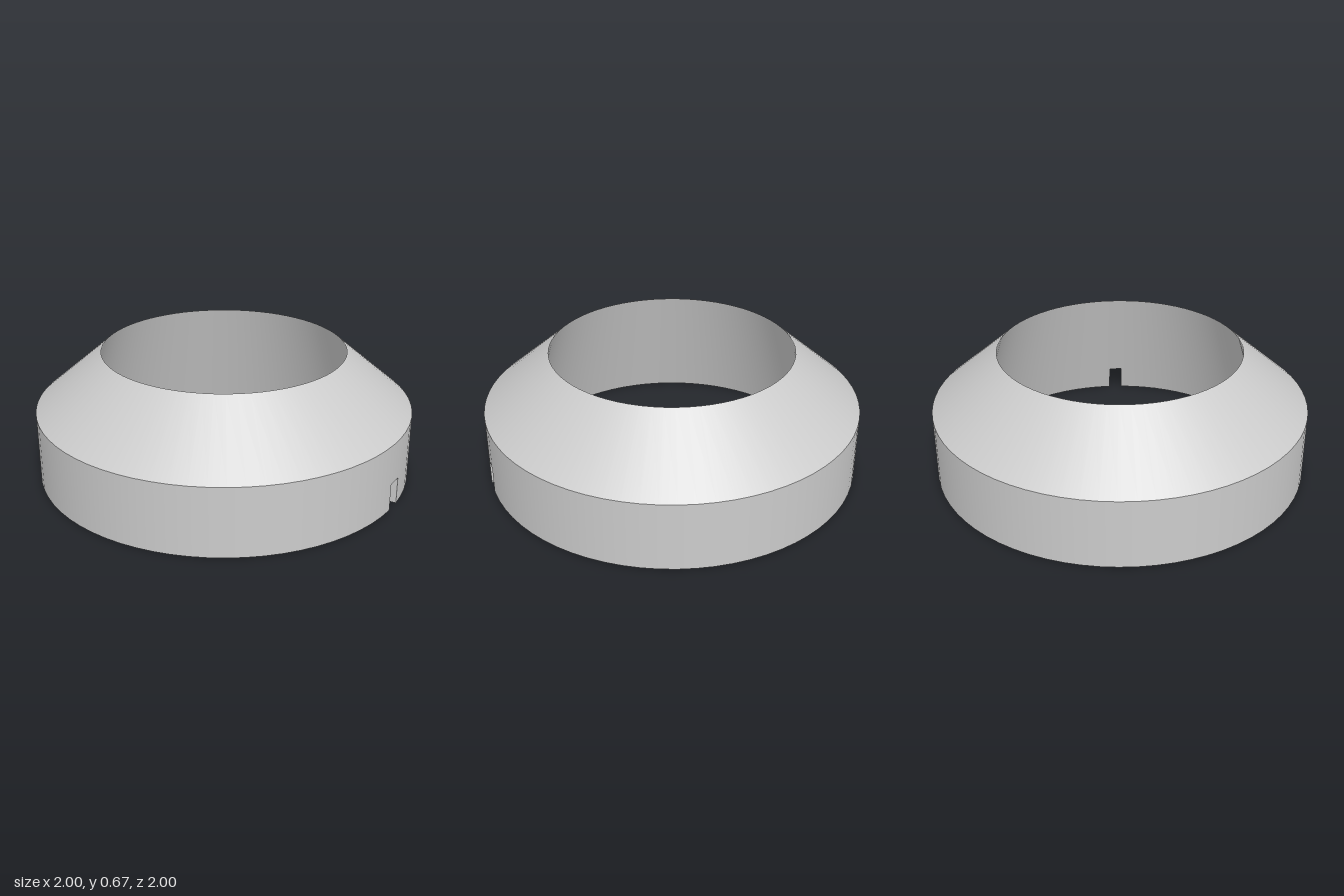
import * as THREE from 'three';

const NOTCH_START = THREE.MathUtils.degToRad(86.6);
const NOTCH_ANGLE = THREE.MathUtils.degToRad(4.95);
const NOTCH_HEIGHT = 0.145;
const HEIGHT = 0.665, SHOULDER = 0.365;
const OUTER = 1, BORE_BOTTOM = 0.845, BORE_TOP = 0.645;

// Radius of the tapering bore at a given height
const boreRadius = (y) => THREE.MathUtils.lerp(BORE_BOTTOM, BORE_TOP, y / HEIGHT);

export function createModel() {
  const model = new THREE.Group();
  const material = new THREE.MeshStandardMaterial({ color: 0xcccccc });
  const wallMaterial = new THREE.MeshStandardMaterial({ color: 0xcccccc, side: THREE.DoubleSide });

  // One sector of the ring; each profile edge is its own band so corners stay sharp
  function ringSector(name, bottom, start, length, segments) {
    const sector = new THREE.Group();
    sector.name = name;
    const profile = [
      [boreRadius(bottom), bottom], [OUTER, bottom],
      [OUTER, SHOULDER], [BORE_TOP, HEIGHT],
    ].map(([r, y]) => new THREE.Vector2(r, y));
    ['underside', 'outerWall', 'slopedTop', 'bore'].forEach((band, i) => {
      const edge = [profile[i], profile[(i + 1) % 4]];
      const mesh = new THREE.Mesh(new THREE.LatheGeometry(edge, segments, start, length), material);
      mesh.name = band;
      sector.add(mesh);
    });
    model.add(sector);
  }
  ringSector('ring', 0, NOTCH_START + NOTCH_ANGLE, Math.PI * 2 - NOTCH_ANGLE, 71);
  ringSector('ringAboveNotch', NOTCH_HEIGHT, NOTCH_START, NOTCH_ANGLE, 1);

  // Radial side walls of the notch
  const wall = new THREE.ShapeGeometry(new THREE.Shape([
    new THREE.Vector2(BORE_BOTTOM, 0), new THREE.Vector2(OUTER, 0),
    new THREE.Vector2(OUTER, NOTCH_HEIGHT), new THREE.Vector2(boreRadius(NOTCH_HEIGHT), NOTCH_HEIGHT),
  ]));
  for (const angle of [NOTCH_START, NOTCH_START + NOTCH_ANGLE]) {
    const mesh = new THREE.Mesh(wall, wallMaterial);
    mesh.name = 'notchWall';
    mesh.rotation.y = angle - Math.PI / 2;
    model.add(mesh);
  }
  return model;
}
